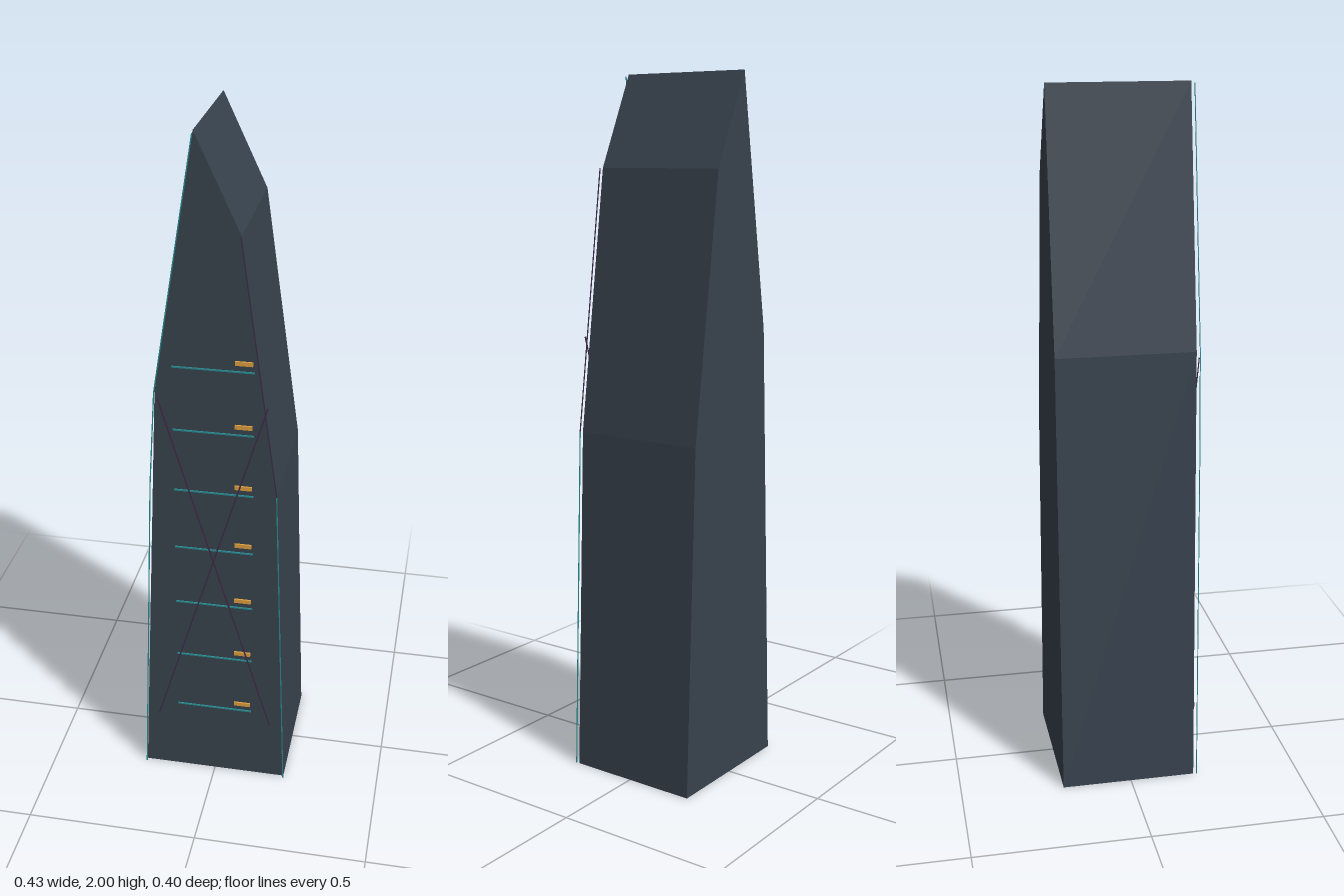
import * as THREE from 'three';

const material = (color) => new THREE.MeshStandardMaterial({ color });
const slate = material(0x38434e);
const teal = material(0x2a8c94);
const plum = material(0x3f2b4a);
const amber = material(0xe0a040);

// Thin flat bar on the facade between two points [x, y]
function strip(name, a, b, width, z, depth, mat) {
  const dx = b[0] - a[0], dy = b[1] - a[1];
  const mesh = new THREE.Mesh(new THREE.BoxGeometry(Math.hypot(dx, dy), width, depth), mat);
  mesh.name = name;
  mesh.position.set((a[0] + b[0]) / 2, (a[1] + b[1]) / 2, z);
  mesh.rotation.z = Math.atan2(dy, dx);
  return mesh;
}

export function createModel() {
  const model = new THREE.Group();
  model.name = 'tower';

  // Tapering faceted tower with an off-centre peak
  const outline = [[-0.215, 0], [0.215, 0], [0.178, 1], [0.075, 1.74], [-0.047, 2], [-0.16, 1.29]];
  const shape = new THREE.Shape(outline.map(([x, y]) => new THREE.Vector2(x, y)));
  const body = new THREE.Mesh(new THREE.ExtrudeGeometry(shape, { depth: 0.392, bevelEnabled: false }), slate);
  body.name = 'towerBody';
  body.position.z = -0.202;
  model.add(body);

  // Floor lines and lit windows
  for (let i = 0; i < 7; i++) {
    const y = 0.238 + i * 0.188;
    model.add(strip('floorLine', [-0.112, y], [0.112, y], 0.004, 0.192, 0.004, teal));
    model.add(strip('litWindow', [0.06, y + 0.026], [0.108, y + 0.026], 0.012, 0.195, 0.005, amber));
  }

  // Edge trim and crossed braces, mirrored across the facade
  for (const s of [-1, 1]) {
    model.add(strip('edgeTrim', [s * 0.215, 0], [s * 0.178, 1], 0.003, 0.2, 0.002, teal));
    model.add(strip('crossBrace', [-s * 0.17, 0.2], [s * 0.15, 1.27], 0.004, 0.2, 0.002, plum));
  }
  model.add(strip('upperEdgeTrim', [-0.178, 1], [-0.16, 1.29], 0.003, 0.2, 0.002, teal));
  model.add(strip('upperEdgeTrim', [-0.16, 1.29], [-0.047, 1.995], 0.003, 0.2, 0.002, teal));
  model.add(strip('upperEdgeTrim', [0.178, 1], [0.075, 1.74], 0.003, 0.2, 0.002, plum));

  return model;
}
